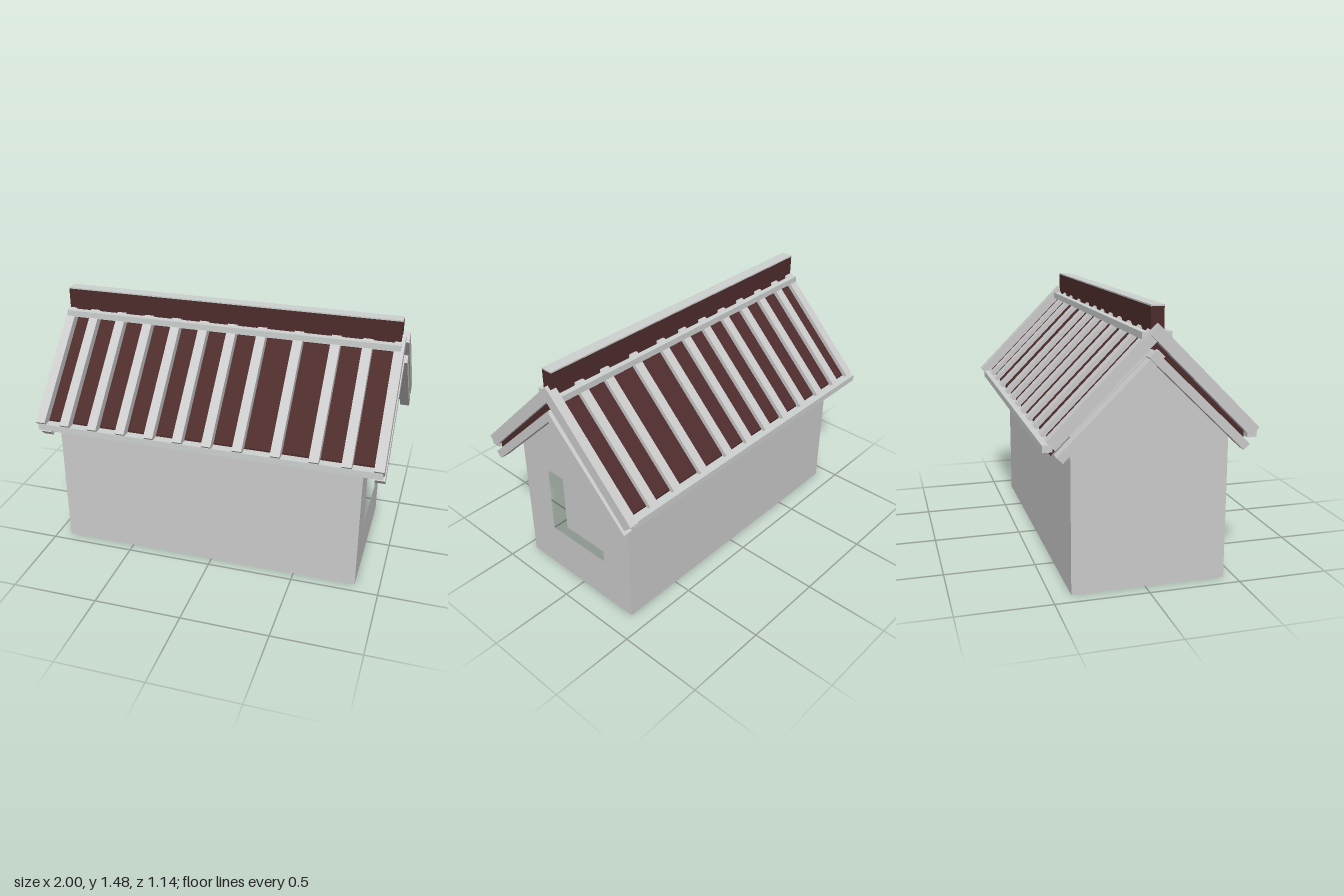
import * as THREE from 'three';

export function createModel() {
  const model = new THREE.Group();
  const mat = (name, color) => {
    const m = new THREE.MeshStandardMaterial({ color });
    m.name = name;
    return m;
  };
  const wall = mat('wall grey', 0xcbcbcb);
  const trim = mat('trim grey', 0xcdd1cf);
  const red = mat('dark red', 0x4e2c2c);

  // Extrudes a [z, y] outline along x from x0 to x1
  const prism = (name, material, pts, x0, x1, hole) => {
    const toV = ([z, y]) => new THREE.Vector2(-z, y);
    const shape = new THREE.Shape(pts.map(toV));
    if (hole) shape.holes.push(new THREE.Path(hole.map(toV)));
    const geo = new THREE.ExtrudeGeometry(shape, { depth: x1 - x0, bevelEnabled: false });
    geo.rotateY(Math.PI / 2);
    geo.translate(x0, 0, 0);
    const mesh = new THREE.Mesh(geo, material);
    mesh.name = name;
    model.add(mesh);
  };
  const rect = (z0, z1, y0, y1) => [[z0, y0], [z1, y0], [z1, y1], [z0, y1]];
  const mirror = (pts, c) => pts.map(([z, y]) => [2 * c - z, y]);

  // House body, with a deep window recess in the +x gable
  const gable = [[0.44, 0], [0.44, 0.835], [0.0225, 1.2525], [-0.395, 0.835], [-0.395, 0]];
  prism('houseBody', wall, gable, -0.92, 0.61);
  prism('windowGable', wall, gable, 0.61, 0.86, rect(-0.19, 0.235, 0.28, 0.7));

  // Roof panels
  prism('roofPanels', red, [
    [0.513, 0.755], [0.513, 0.832], [0.0075, 1.338], [-0.498, 0.832],
    [-0.498, 0.755], [0.0075, 1.26],
  ], -0.945, 0.955);

  // Sloping rafters over the roof, front and back
  const rafter = [[0.575, 0.836], [0.53, 0.79], [-0.02, 1.34], [0.025, 1.386]];
  const centres = [-0.972, -0.825, -0.657, -0.487, -0.317, -0.15, 0.018, 0.192, 0.402, 0.611, 0.785, 0.955];
  centres.forEach((x, i) => {
    prism('frontRafter', wall, rafter, x - 0.027, x + 0.027);
    const last = i === centres.length - 1;
    const back = mirror(rafter, last ? 0.0025 : 0.0225);
    const bx = x + (last ? 0.018 : 0.01);
    prism('backRafter', wall, back, bx - 0.027, bx + 0.027);
  });

  // Lower bargeboards at both ends
  const barge = [[0.525, 0.755], [0.493, 0.723], [-0.02, 1.222], [0.012, 1.254]];
  prism('frontBargeboard', wall, barge, -1, -0.94);
  prism('frontBargeboard', wall, barge, 0.93, 0.985);
  prism('backBargeboard', wall, mirror(barge, 0.0225), -0.99, -0.93);
  prism('backBargeboard', wall, mirror(barge, 0.0025), 0.945, 1);

  // Eave strips and strips beside the ridge
  prism('frontEaveStrip', trim, rect(0.513, 0.565, 0.785, 0.822), -0.99, 0.975);
  prism('backEaveStrip', trim, rect(-0.55, -0.498, 0.785, 0.822), -0.99, 0.95);
  prism('frontRidgeStrip', trim, rect(0.055, 0.098, 1.31, 1.346), -0.99, 0.965);
  prism('backRidgeStrip', trim, rect(-0.055, -0.022, 1.31, 1.346), -0.99, 0.955);

  // Ridge board with a thin cap
  prism('ridgeBoard', red, rect(-0.01, 0.058, 1.29, 1.467), -0.985, 0.962);
  prism('ridgeCap', trim, rect(-0.01, 0.058, 1.467, 1.475), -0.985, 0.962);

  return model;
}
